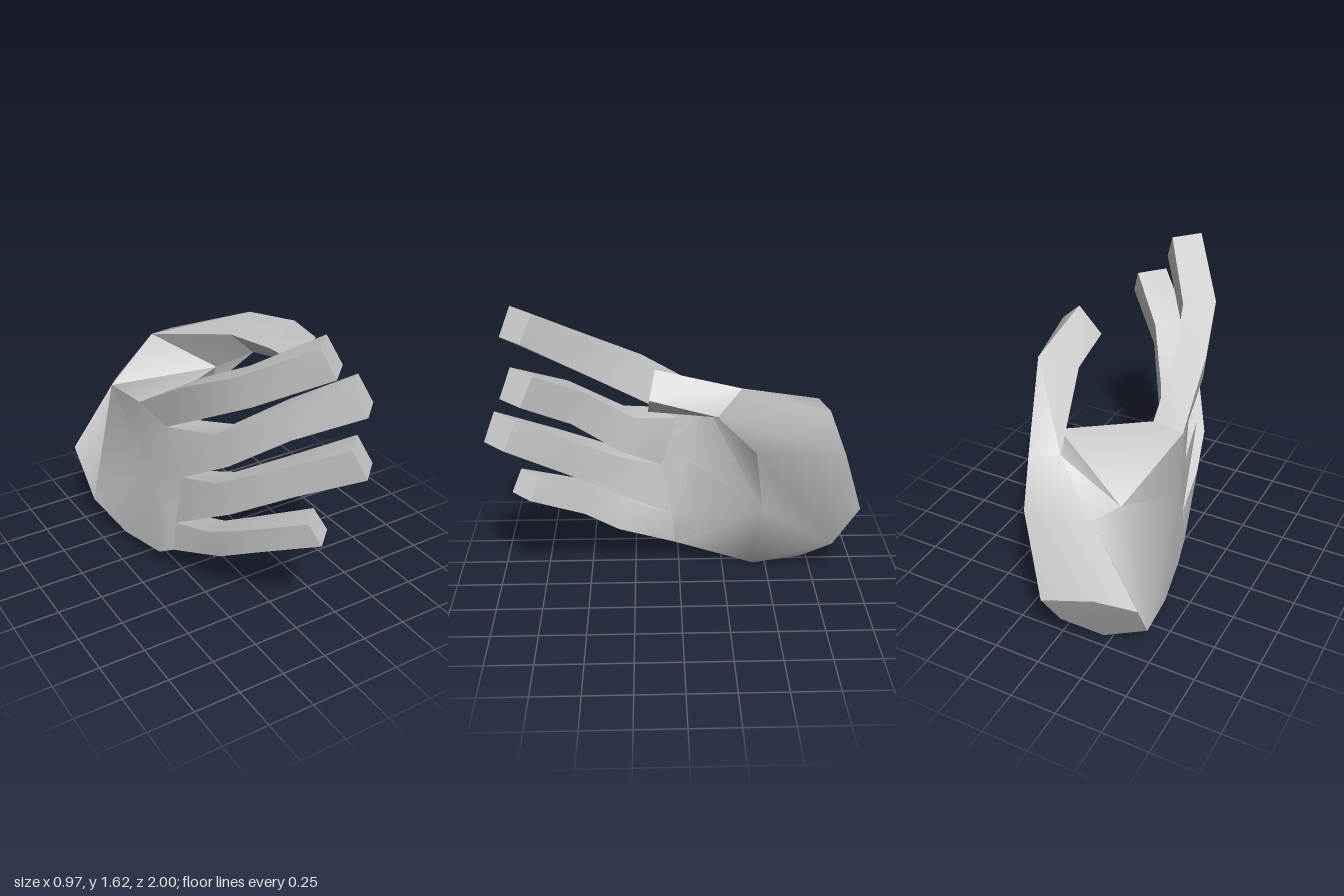
import * as THREE from 'three';
import { toCreasedNormals } from 'three/addons/utils/BufferGeometryUtils.js';

const material = new THREE.MeshStandardMaterial({ color: 0xcccccc, side: THREE.DoubleSide });

// Each face is a loop of points, split as a fan from its first corner
function facesMesh(name, faces, crease) {
  const pos = [];
  for (const f of faces)
    for (let i = 1; i < f.length - 1; i++) pos.push(...f[0], ...f[i], ...f[i + 1]);
  const geo = new THREE.BufferGeometry();
  geo.setAttribute('position', new THREE.Float32BufferAttribute(pos, 3));
  const mesh = new THREE.Mesh(toCreasedNormals(geo, crease), material);
  mesh.name = name;
  return mesh;
}

// Skin over a row of four-cornered sections, closed at the tip
function loft(rings) {
  const faces = [];
  for (let i = 0; i < rings.length - 1; i++)
    for (let j = 0; j < 4; j++) {
      const k = (j + 1) % 4;
      faces.push([rings[i][j], rings[i + 1][j], rings[i + 1][k], rings[i][k]]);
    }
  faces.push([...rings[rings.length - 1]].reverse());
  return faces;
}

// Knuckle row, from index to little finger: back of hand and palm side
const back = [[-0.39, 1.01, -0.17], [-0.33, 0.93, 0.01], [-0.29, 0.66, 0.1], [-0.31, 0.35, 0.04], [-0.33, 0.18, 0.04]];
const palm = [[-0.21, 1.01, -0.14], [-0.18, 0.93, 0.01], [-0.16, 0.66, 0.1], [-0.17, 0.35, 0.04], [-0.21, 0.14, 0.02]];

// Section corners relative to the outer top edge, at both joints and the tip
const sections = [
  [[0, 0, 0], [0.15, -0.01, -0.06], [0.2, -0.18, 0.02], [0.04, -0.16, 0.07]],
  [[0, 0, 0], [0.15, -0.01, -0.09], [0.19, -0.165, -0.02], [0.05, -0.13, 0.08]],
  [[0, 0, 0], [0.12, -0.005, -0.12], [0.175, -0.145, -0.06], [0.055, -0.145, 0.055]],
];

// Outer top edge of each finger: first joint, second joint, tip
const fingers = [
  ['indexFinger', 1, [[-0.34, 1.24, 0.2], [-0.25, 1.4, 0.52], [-0.01, 1.62, 0.85]]],
  ['middleFinger', 1, [[-0.22, 0.99, 0.3], [-0.06, 1.2, 0.58], [0.195, 1.37, 0.84]]],
  ['ringFinger', 1, [[-0.24, 0.74, 0.35], [-0.07, 0.92, 0.64], [0.13, 1.11, 0.945]]],
  ['littleFinger', 0.8, [[-0.27, 0.44, 0.32], [-0.21, 0.555, 0.54], [-0.03, 0.71, 0.85]]],
];

// Wrist end
const A = [-0.49, 0.43, -0.86], B = [-0.3, 0.49, -0.95], C = [-0.04, 0.43, -1],
  D = [-0.06, 0.2, -0.86], E = [-0.22, 0.03, -0.71], F = [-0.46, 0.15, -0.69];
// Heel and lower edge
const G = [-0.41, 0.08, -0.38], H = [-0.2, 0, -0.43], L = [-0.35, 0.1, -0.08];
// Hollow between thumb and index finger
const P = [-0.31, 0.87, -0.68], Q = [-0.22, 0.84, -0.81], W = [0.2, 0.98, -0.38];
// Middle of the back, fold below the thumb, valley across the finger roots
const S = [-0.36, 0.6, -0.12], X = [0.27, 0.92, -0.38], Y = [0.04, 0.48, -0.45],
  V1 = [-0.21, 0.66, -0.05], V2 = [-0.21, 0.35, -0.04];
// Root of the thumb, its joint and its tip
const M1 = [-0.02, 1.1, -0.73], M2 = [0.13, 1.09, -0.77], M3 = [0.11, 0.83, -0.87];
const joint = [[0.36, 1.31, -0.29], [0.43, 1.19, -0.17], [0.28, 1.15, -0.13], [0.18, 1.25, -0.2]];
const tip = [[0.36, 1.41, 0.13], [0.48, 1.3, 0.16], [0.35, 1.19, 0.165], [0.225, 1.28, 0.12]];
const [N1, N2, N3, N4] = joint;

export function createModel() {
  const hand = new THREE.Group();
  hand.name = 'hand';

  hand.add(facesMesh('wristEnd', [[A, B, C, D, E, F]], 1));

  hand.add(facesMesh('palm', [
    [M3, C, B], [M3, B, Q], [B, A, Q], [M3, Q, M1], [M3, M1, M2], // rear
    [Q, A, F], [Q, F, P],                                 // back of hand
    [S, P, F, G, L, ...[...back].reverse(), P],
    [E, H, G, F], [H, palm[4], back[4], L, G],            // heel and lower edge
    [Y, W, palm[0], V1, V2, palm[4], H],                  // palm
    [palm[0], palm[1], palm[2], V1], [V1, palm[2], palm[3], V2], [V2, palm[3], palm[4]], // finger roots
    [M1, Q, P, W], [W, P, back[0], palm[0]],              // hollow by the thumb
    [M1, N1, M2], [M2, N1, N2], [M2, N2, M3],             // thumb root, outside
    [M3, N2, X, D], [M3, D, C],
    [N2, N3, W, X], [X, W, Y], [D, X, Y], [D, Y, H], [D, H, E], // thumb root, palm side
    [N4, N1, M1, W], [N3, N4, W],                         // thumb root, inside
  ], 0.85));

  hand.add(facesMesh('thumb', loft([joint, tip]), 1.1));

  fingers.forEach(([name, size, path], i) => {
    const rings = [[back[i], palm[i], palm[i + 1], back[i + 1]]];
    path.forEach((p, s) => rings.push(
      sections[s].map((o) => p.map((v, axis) => v + o[axis] * (axis === 1 ? size : (1 + size) / 2)))));
    hand.add(facesMesh(name, loft(rings), 1));
  });

  return hand;
}
